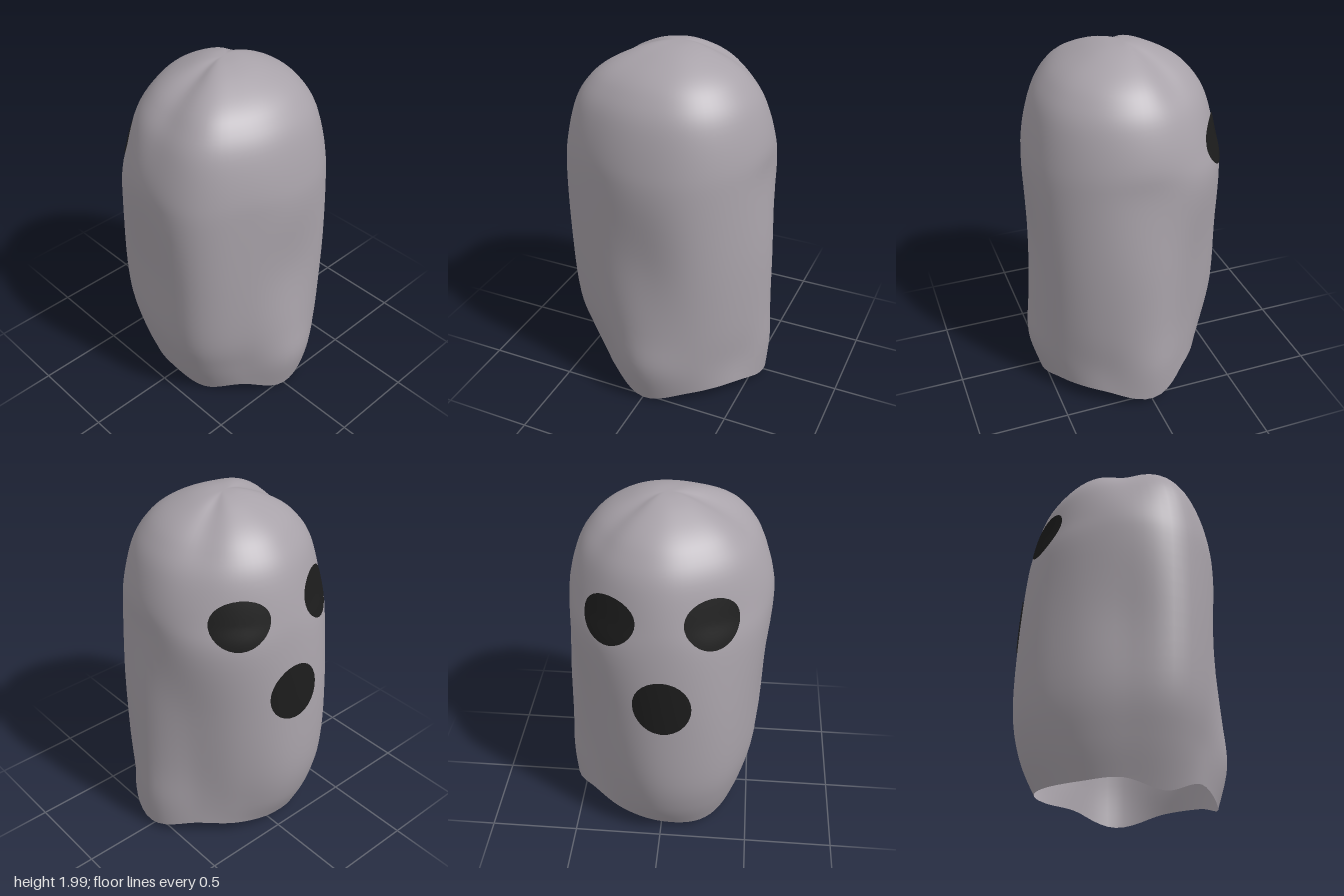
import * as THREE from 'three';

const cloth = new THREE.MeshStandardMaterial({ color: 0xa8a2a9, side: THREE.DoubleSide });
cloth.name = 'grey cloth';
const dark = new THREE.MeshStandardMaterial({ color: 0x1c1c1c, side: THREE.DoubleSide });
dark.name = 'black';
const rad = THREE.MathUtils.degToRad;

// Smooth curve through four neighbouring values
function spline(a, b, c, d, t) {
  return b + 0.5 * t * (c - a + t * (2 * a - 5 * b + 4 * c - d + t * (3 * (b - c) + d - a)));
}

// Smooth closed curve through evenly spaced values around the body, from +x towards +z
function around(values, angle) {
  const n = values.length;
  const f = (((angle / (2 * Math.PI)) % 1 + 1) % 1) * n;
  const i = Math.floor(f);
  const at = (k) => values[(i + k + n) % n];
  return spline(at(-1), at(0), at(1), at(2), f - i);
}

// Cross-sections of the body every 30 degrees
const shoulder = [.525, .535, .54, .53, .55, .6, .565, .53, .5, .51, .505, .515];
const chest = [.53, .55, .56, .545, .56, .62, .575, .565, .55, .54, .545, .545];
const waist = [.56, .565, .565, .525, .555, .615, .54, .56, .59, .565, .53, .51];
const skirt = [.57, .56, .56, .56, .54, .59, .53, .545, .59, .575, .51, .485];
const flare = [.58, .545, .55, .58, .5, .52, .48, .495, .54, .53, .48, .48];
const edge = [.565, .55, .53, .52, .47, .425, .42, .43, .46, .45, .45, .48];
const edgeHeight = [.04, .1, .08, .01, .08, .01, .06, .05, .05, .07, .09, .1];

// Cloth folds running down from the crown: one ridge and two creases
function fold(angle) {
  const bump = (deg, width) => Math.exp(-2 * ((1 - Math.cos(angle - rad(deg))) / rad(width) ** 2));
  return 0.15 * bump(143, 20) - 0.4 * bump(178, 18) - 0.33 * bump(330, 18) + 0.1 * Math.sin(angle);
}

// Levels from crown to hem: the dome shrinks the shoulder section, the rest are sections
const dome = [[2, 0], [1.995, .16], [1.965, .35], [1.9, .59], [1.82, .76], [1.7, .9]];
const levels = [
  ...dome.map(([y, s]) => ({
    height: () => y,
    radius: (a) => around(shoulder, a) * s * (1 + (1 - s) * fold(a)),
  })),
  ...[[1.5, shoulder], [1.3, chest], [.9, waist], [.5, skirt], [.25, flare]].map(([y, section]) => ({
    height: () => y,
    radius: (a) => around(section, a),
  })),
  { height: (a) => around(edgeHeight, a), radius: (a) => around(edge, a) },
];

// Point on the sheet; v runs from 0 at the crown to 1 at the hem
function sheetPoint(angle, v, lift = 0) {
  const last = levels.length - 1;
  const i = Math.min(Math.floor(v * last), last - 1);
  const along = (key) => {
    const at = (k) => levels[Math.max(0, Math.min(last, i + k))][key](angle);
    return spline(at(-1), at(0), at(1), at(2), v * last - i);
  };
  const r = along('radius') + lift;
  return [r * Math.cos(angle), along('height'), r * Math.sin(angle)];
}

// Disc of loops around a centre point, shaped by a rule of turn and reach (0 to 1)
function discGeometry(sides, loops, rule) {
  const positions = [...rule(0, 0)], indices = [];
  const id = (i, j) => (i === 0 ? 0 : 1 + (i - 1) * sides + (j % sides));
  for (let i = 1; i <= loops; i++) {
    for (let j = 0; j < sides; j++) {
      positions.push(...rule((j / sides) * Math.PI * 2, i / loops));
      if (i > 1) indices.push(id(i - 1, j), id(i - 1, j + 1), id(i, j));
      indices.push(id(i - 1, j + 1), id(i, j + 1), id(i, j));
    }
  }
  const geometry = new THREE.BufferGeometry();
  geometry.setAttribute('position', new THREE.Float32BufferAttribute(positions, 3));
  geometry.setIndex(indices);
  geometry.computeVertexNormals();
  return geometry;
}

// Height to v along the sheet, by halving
function findV(angle, y) {
  let lo = 0, hi = 1;
  for (let k = 0; k < 24; k++) {
    const mid = (lo + hi) / 2;
    if (sheetPoint(angle, mid)[1] > y) lo = mid; else hi = mid;
  }
  return lo;
}

// Rounded patch lying just above the cloth
function patchGeometry(deg, y, halfDeg, halfHeight, taper) {
  return discGeometry(28, 6, (turn, reach) => {
    const up = Math.sin(turn);
    const angle = rad(deg + halfDeg * reach * Math.cos(turn) * (1 + taper * up));
    return sheetPoint(angle, findV(angle, y + halfHeight * reach * up), 0.007);
  });
}

export function createModel() {
  const model = new THREE.Group();
  model.name = 'ghost';
  const add = (name, geometry, material) => {
    const mesh = new THREE.Mesh(geometry, material);
    mesh.name = name;
    model.add(mesh);
  };

  add('sheet', discGeometry(72, 55, (turn, reach) => sheetPoint(turn, reach)), cloth);
  // Face, looking towards -z
  add('leftEye', patchGeometry(-58.5, 1.49, 18, 0.13, 0.15), dark);
  add('rightEye', patchGeometry(238, 1.49, 17.5, 0.135, 0.15), dark);
  add('mouth', patchGeometry(268.5, 1.03, 16, 0.165, 0), dark);
  return model;
}
